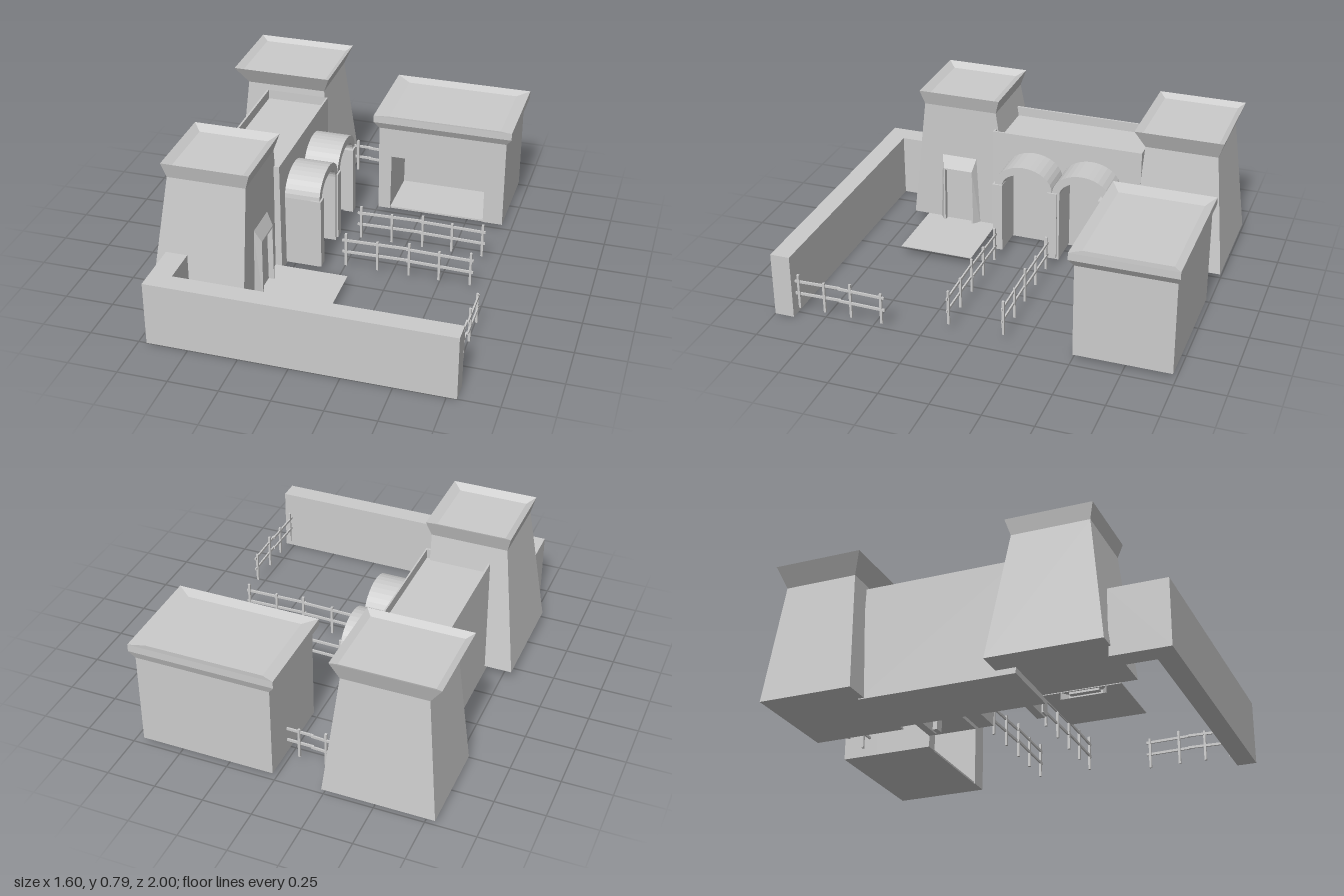
import * as THREE from 'three';

const material = new THREE.MeshStandardMaterial({ color: 0xcccccc, flatShading: true, side: THREE.DoubleSide });

function add(parent, name, geometry, x = 0, y = 0, z = 0) {
  const mesh = new THREE.Mesh(geometry, material);
  mesh.name = name;
  mesh.position.set(x, y, z);
  parent.add(mesh);
  return mesh;
}

// Box given by its limits
function block(parent, name, x0, x1, y0, y1, z0, z1) {
  return add(parent, name, new THREE.BoxGeometry(x1 - x0, y1 - y0, z1 - z0),
    (x0 + x1) / 2, (y0 + y1) / 2, (z0 + z1) / 2);
}

// Skin through four-cornered loops, optionally closed at both ends
function skin(loops, closed = true) {
  const p = [];
  const quad = (a, b, c, d) => p.push(...a, ...b, ...c, ...a, ...c, ...d);
  for (let i = 0; i + 1 < loops.length; i++) {
    for (let k = 0; k < 4; k++) {
      const n = (k + 1) % 4;
      quad(loops[i][k], loops[i][n], loops[i + 1][n], loops[i + 1][k]);
    }
  }
  if (closed) quad(...[...loops[0]].reverse());
  quad(...loops[loops.length - 1]);
  const g = new THREE.BufferGeometry();
  g.setAttribute('position', new THREE.Float32BufferAttribute(p, 3));
  g.computeVertexNormals();
  return g;
}

// Horizontal rectangles [x0, x1, z0, z1, y] stacked into a tapered solid
const stack = (rects) => skin(rects.map(([x0, x1, z0, z1, y]) =>
  [[x0, y, z1], [x1, y, z1], [x1, y, z0], [x0, y, z0]]));

// Low vaulted bay open towards +x
function archBay(parent, z) {
  const outer = 0.155, inner = 0.115, spring = 0.41, base = 0.03;
  const s = new THREE.Shape();
  s.moveTo(outer, base);
  s.lineTo(outer, spring);
  s.absellipse(0, spring, outer, 0.12, 0, Math.PI, false);
  s.lineTo(-outer, base);
  s.lineTo(-inner, base);
  s.lineTo(-inner, spring);
  s.absellipse(0, spring, inner, 0.078, Math.PI, 0, true);
  s.lineTo(inner, base);
  s.closePath();
  const g = new THREE.ExtrudeGeometry(s, { depth: 0.185, bevelEnabled: false, curveSegments: 8 });
  add(parent, 'archBay', g.rotateY(Math.PI / 2), -0.29, 0, z);
}

// Two-rail fence along local x, with slightly uneven rails
function fence(parent, name, posts, length) {
  const group = new THREE.Group();
  group.name = name;
  posts.forEach((x, i) => {
    const top = i % 2 ? 0.205 : 0.225;
    block(group, 'fencePost', x - 0.006, x + 0.006, 0.04, top, -0.006, 0.006);
  });
  for (const y of [0.12, 0.187]) {
    for (const i of [0, 1]) {
      const rail = add(group, 'fenceRail', new THREE.BoxGeometry(length / 2 + 0.01, 0.013, 0.008),
        length * (0.25 + i * 0.5), y, i ? 0.003 : -0.003);
      rail.rotation.z = i ? -0.02 : 0.02;
    }
  }
  parent.add(group);
  return group;
}

export function createModel() {
  const model = new THREE.Group();
  model.name = 'courtyardBuildings';

  // Sloped towers with flared, dished tops
  add(model, 'frontTower', stack([
    [-0.80, -0.32, 0.15, 0.72, 0.05],
    [-0.71, -0.315, 0.245, 0.64, 0.71],
    [-0.73, -0.29, 0.22, 0.66, 0.79],
    [-0.69, -0.335, 0.265, 0.62, 0.765],
  ]));
  add(model, 'backTower', stack([
    [-0.80, -0.24, -1.0, -0.52, 0.025],
    [-0.735, -0.31, -0.935, -0.56, 0.65],
    [-0.797, -0.27, -0.967, -0.51, 0.745],
    [-0.76, -0.30, -0.935, -0.545, 0.725],
  ]));

  // Hall between the towers, with a sunken roof
  add(model, 'hall', stack([
    [-0.66, -0.285, -0.55, 0.25, 0.02],
    [-0.63, -0.287, -0.55, 0.25, 0.62],
    [-0.62, -0.295, -0.55, 0.24, 0.62],
    [-0.62, -0.295, -0.55, 0.24, 0.57],
  ]));

  // Arcade on the courtyard side
  archBay(model, 0.022);
  archBay(model, -0.288);
  for (const z of [0.16, -0.135, -0.405]) {
    block(model, 'arcadeColumn', -0.15, -0.096, 0.04, 0.415, z - 0.026, z + 0.026);
  }

  // Bevelled doorway of the front tower
  const doorLoop = (x, zb, zt, y0, y1) => {
    const c = 0.453;
    return [[x, y0, c + zb], [x, y0, c - zb], [x, y1, c - zt], [x, y1, c + zt]];
  };
  add(model, 'doorway', skin([
    doorLoop(-0.322, 0.115, 0.098, 0.01, 0.435),
    doorLoop(-0.284, 0.085, 0.08, 0.025, 0.36),
    doorLoop(-0.284, 0.075, 0.073, 0.035, 0.352),
    doorLoop(-0.312, 0.075, 0.073, 0.035, 0.352),
  ], false));
  block(model, 'doorstepPaving', -0.32, 0.062, 0.046, 0.05, 0.25, 0.64);

  // Open-fronted house with a notch in the front half
  const front = new THREE.Shape();
  [[0.015, 0.025], [0.08, 0.025], [0.085, 0.345], [0.595, 0.345], [0.595, 0.025],
    [0.70, 0.025], [0.70, 0.51], [0.015, 0.51]].forEach(([x, y], i) => (i ? front.lineTo(x, y) : front.moveTo(x, y)));
  add(model, 'houseFront', new THREE.ExtrudeGeometry(front, { depth: 0.3, bevelEnabled: false }), 0, 0, -0.80);
  block(model, 'houseBack', 0.015, 0.70, 0.025, 0.51, -0.985, -0.80);
  block(model, 'houseFloor', 0.02, 0.695, 0.025, 0.035, -0.82, -0.505);
  add(model, 'houseRoof', stack([
    [0.015, 0.70, -0.985, -0.50, 0.51],
    [-0.012, 0.728, -1.0, -0.478, 0.55],
    [-0.012, 0.728, -1.0, -0.478, 0.588],
    [0.06, 0.66, -0.955, -0.525, 0.57],
  ]));

  // Courtyard wall with a short return
  const plan = new THREE.Shape();
  [[-0.71, -1], [0.80, -1], [0.80, -0.9], [-0.60, -0.9], [-0.60, -0.71], [-0.71, -0.71]]
    .forEach(([x, y], i) => (i ? plan.lineTo(x, y) : plan.moveTo(x, y)));
  add(model, 'courtyardWall',
    new THREE.ExtrudeGeometry(plan, { depth: 0.335, bevelEnabled: false }).rotateX(-Math.PI / 2));

  // Fences
  for (const z of [-0.145, 0.135]) {
    fence(model, 'yardFence', [0.015, 0.18, 0.345, 0.5, 0.66], 0.67).position.set(0.005, 0, z);
  }
  const side = fence(model, 'sideFence', [0.015, 0.15, 0.29, 0.45], 0.465);
  side.position.set(0.765, 0, 0.893);
  side.rotation.y = Math.PI / 2;
  const back = fence(model, 'backFence', [0.06, 0.2], 0.26);
  back.position.set(-0.26, 0, -0.848);
  back.rotation.y = -0.04;

  return model;
}
